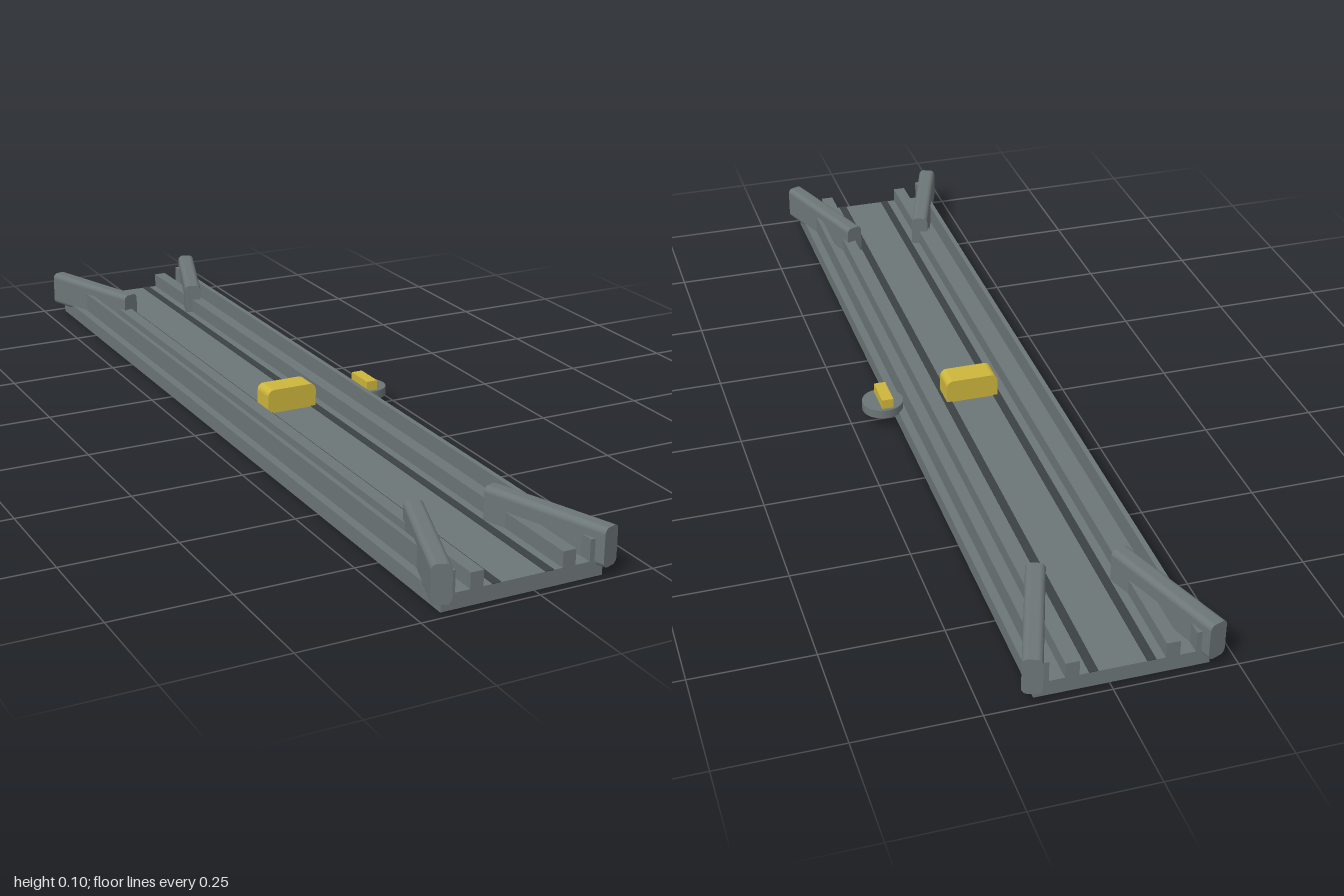
import * as THREE from 'three';

const mat = (name, color) => {
  const m = new THREE.MeshStandardMaterial({ color });
  m.name = name;
  return m;
};

// Rounded rectangle profile pushed along z, centred on the origin
function roundedBar(w, h, depth, r, rb = r) {
  const x = w / 2, y = h / 2, s = new THREE.Shape();
  s.moveTo(-x + rb, -y);
  s.lineTo(x - rb, -y);
  if (rb) s.absarc(x - rb, -y + rb, rb, -Math.PI / 2, 0, false);
  s.lineTo(x, y - r);
  s.absarc(x - r, y - r, r, 0, Math.PI / 2, false);
  s.lineTo(-x + r, y);
  s.absarc(-x + r, y - r, r, Math.PI / 2, Math.PI, false);
  s.lineTo(-x, -y + rb);
  if (rb) s.absarc(-x + rb, -y + rb, rb, Math.PI, Math.PI * 1.5, false);
  const g = new THREE.ExtrudeGeometry(s, { depth, bevelEnabled: false, curveSegments: 6 });
  return g.translate(0, 0, -depth / 2);
}

export function createModel() {
  const grey = mat('grey', 0x6d7678);
  const dark = mat('dark grey', 0x3c4244);
  const yellow = mat('yellow', 0xcdb63c);
  const model = new THREE.Group();
  model.name = 'slideTrack';

  const add = (name, geo, material, x, y, z = 0, parent = model) => {
    const m = new THREE.Mesh(geo, material);
    m.name = name;
    m.position.set(x, y, z);
    parent.add(m);
    return m;
  };
  const box = (w, h, d) => new THREE.BoxGeometry(w, h, d);

  // The track sits slightly to the right of the side dial
  const track = new THREE.Group();
  track.name = 'track';
  track.position.x = -0.025;
  model.add(track);
  add('bed', box(0.348, 0.033, 1.96), grey, 0, 0.0165, 0, track);

  for (const sx of [-1, 1]) {
    // Lengthwise rails and floor strips
    add('innerRail', box(0.028, 0.034, 1.96), grey, sx * 0.099, 0.049, 0, track);
    add('outerRail', box(0.011, 0.046, 1.96), grey, sx * 0.15, 0.055, 0, track);
    add('floorStrip', box(0.018, 0.002, 1.96), dark, sx * 0.057, 0.0335, 0, track);

    // Flared guide arms at both ends
    for (const sz of [-1, 1]) {
      const dx = 0.095, dz = 0.268;
      const arm = add('guideArm', roundedBar(0.04, 0.081, Math.hypot(dx, dz), 0.012), grey,
        sx * 0.1335, 0.0625, sz * 0.859, track);
      arm.rotation.y = sx * sz * Math.atan2(dx, dz);
    }
  }

  // Sliding block in the middle of the channel
  add('slider', roundedBar(0.118, 0.054, 0.056, 0.015, 0), yellow, -0.024, 0.06);

  // Side dial with its grip
  add('dial', new THREE.CylinderGeometry(0.046, 0.046, 0.02, 32), grey, 0.177, 0.04);
  add('dialGrip', box(0.026, 0.022, 0.074), yellow, 0.174, 0.061);

  return model;
}
